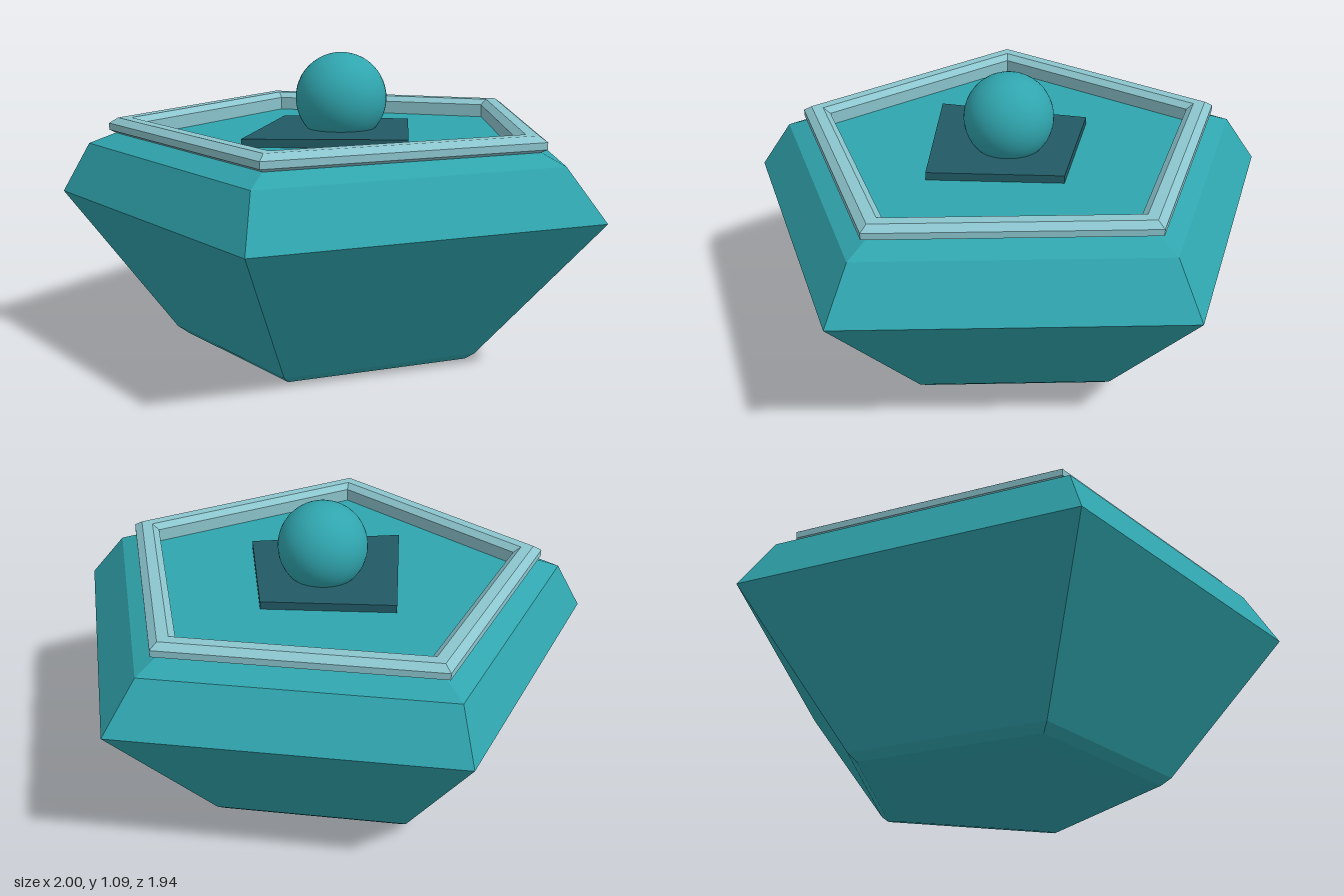
import * as THREE from 'three';

const SIDES = 5;
const TURN = THREE.MathUtils.degToRad(-3.1);

// Stacks pentagon sections [radius, y, centreX, centreZ] into a faceted skin
function pentagonSkin(sections) {
  const corner = ([r, y, cx, cz], k) => {
    const a = TURN + (k * Math.PI * 2) / SIDES;
    return [cx + r * Math.sin(a), y, cz - r * Math.cos(a)];
  };
  const points = [];
  for (let i = 0; i < sections.length - 1; i++) {
    const lower = sections[i], upper = sections[i + 1];
    for (let k = 0; k < SIDES; k++) {
      const a = corner(lower, k + 1), b = corner(lower, k);
      const c = corner(upper, k), d = corner(upper, k + 1);
      if (lower[0] > 0) points.push(...a, ...b, ...c);
      if (upper[0] > 0) points.push(...a, ...c, ...d);
    }
  }
  const geometry = new THREE.BufferGeometry();
  geometry.setAttribute('position', new THREE.Float32BufferAttribute(points, 3));
  geometry.computeVertexNormals();
  return geometry;
}

export function createModel() {
  const group = new THREE.Group();
  const add = (name, geometry, color, flatShading = true) => {
    const mesh = new THREE.Mesh(geometry, new THREE.MeshStandardMaterial({ color, flatShading }));
    mesh.name = name;
    group.add(mesh);
    return mesh;
  };
  const teal = 0x30a5ae, pale = 0x8cc5ce, dark = 0x225b66;

  // Faceted bowl with bevelled foot, shoulder and shallow recessed top
  add('body', pentagonSkin([
    [0, 0, -0.015, 0.113],
    [0.5, 0, -0.015, 0.113],
    [0.57, 0.013, -0.017, 0.114],
    [0.608, 0.04, -0.017, 0.115],
    [1.053, 0.58, 0.009, 0.088],
    [0.925, 0.76, -0.005, 0.109],
    [0.83, 0.798, -0.003, 0.106],
    [0.76, 0.798, -0.003, 0.106],
    [0.76, 0.785, -0.003, 0.106],
    [0, 0.785, -0.003, 0.106],
  ]), teal);

  // Bevelled frame around the top
  const frame = [
    [0.74, 0.782], [0.82, 0.795], [0.852, 0.81], [0.852, 0.835],
    [0.818, 0.855], [0.768, 0.855], [0.738, 0.835], [0.74, 0.782],
  ];
  add('topFrame', pentagonSkin(frame.map(([r, y]) => [r, y, -0.003, 0.106])), pale);

  // Thin four-cornered plate under the knob
  const outline = new THREE.Shape(
    [[-0.37, 0.115], [0.03, 0.545], [0.385, 0.075], [-0.015, -0.23]]
      .map(([x, z]) => new THREE.Vector2(x, -z)));
  const plate = new THREE.ExtrudeGeometry(outline, { depth: 0.035, bevelEnabled: false });
  plate.rotateX(-Math.PI / 2);
  add('knobPlate', plate, dark).position.y = 0.78;

  // Round knob
  add('knob', new THREE.SphereGeometry(0.169, 40, 24), teal, false).position.set(0.005, 0.925, 0.1);

  return group;
}
